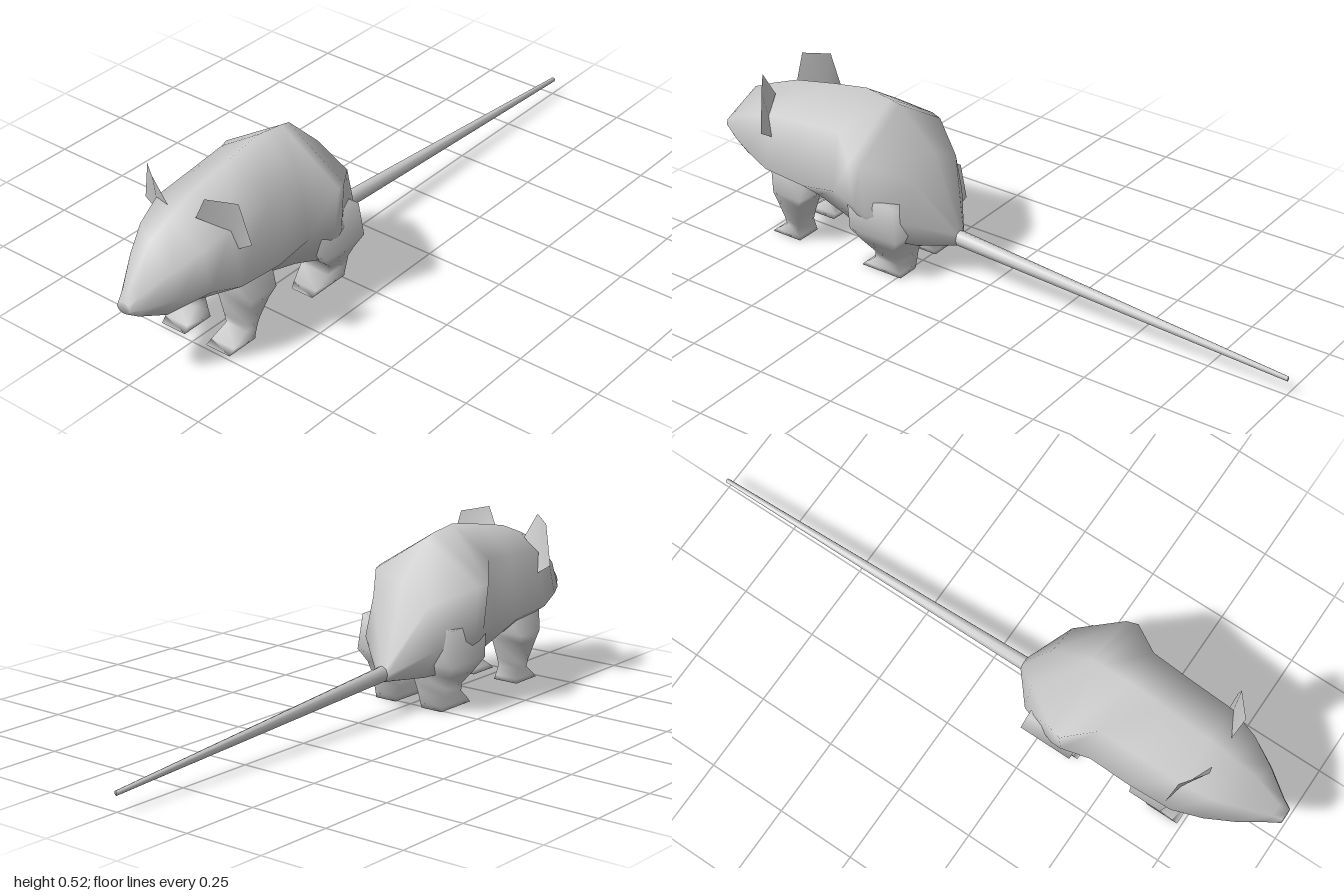
import * as THREE from 'three';

const material = new THREE.MeshStandardMaterial({ color: 0xcccccc, side: THREE.DoubleSide });

// Skin a list of equal-length closed rings of [x, y, z], with both ends capped
function loft(name, rings) {
  const n = rings[0].length;
  const index = [];
  for (let r = 0; r < rings.length - 1; r++) {
    for (let i = 0; i < n; i++) {
      const j = (i + 1) % n;
      const a = r * n + i, b = r * n + j, c = a + n, d = b + n;
      index.push(a, b, c, b, d, c);
    }
  }
  const end = (rings.length - 1) * n;
  for (let i = 1; i < n - 1; i++) {
    index.push(0, i + 1, i, end, end + i, end + i + 1);
  }
  return surface(name, rings.flat(), index);
}

function surface(name, points, index) {
  const geometry = new THREE.BufferGeometry();
  geometry.setAttribute('position', new THREE.Float32BufferAttribute(points.flat(), 3));
  geometry.setIndex(index);
  geometry.computeVertexNormals();
  const mesh = new THREE.Mesh(geometry, material);
  mesh.name = name;
  return mesh;
}

// Symmetric body ring: top height, three side points, bottom height
function bodyRing([z, top, upper, side, lower, bottom]) {
  const half = [upper, side, lower];
  return [
    [0, top, z],
    ...half.map(([x, y]) => [x, y, z]),
    [0, bottom, z],
    ...half.slice().reverse().map(([x, y]) => [-x, y, z]),
  ];
}

// Leg from stacked four-sided sections: y, inner x, outer x, back z, front z
function leg(name, sections, side) {
  return loft(name, sections.map(([y, x0, x1, z0, z1]) => {
    const ring = [[x1, y, z0], [x1, y, z1], [x0, y, z1], [x0, y, z0]];
    return side > 0 ? ring : ring.reverse().map(([x, h, z]) => [-x, h, z]);
  }));
}

export function createModel() {
  const model = new THREE.Group();
  model.name = 'mouse';

  // Body and head, from nose to rump
  const tailRoot = [0.11, 0.15, [0.016, 0.143], [0.022, 0.125], [0.016, 0.107], 0.1];
  const body = [
    [1.0, 0.272, [0.018, 0.266], [0.024, 0.25], [0.015, 0.238], 0.235],
    [0.97, 0.31, [0.03, 0.285], [0.042, 0.25], [0.025, 0.22], 0.215],
    [0.89, 0.405, [0.075, 0.335], [0.098, 0.26], [0.05, 0.192], 0.175],
    [0.81, 0.44, [0.112, 0.375], [0.14, 0.26], [0.06, 0.195], 0.182],
    [0.72, 0.475, [0.132, 0.41], [0.165, 0.24], [0.08, 0.182], 0.178],
    [0.57, 0.505, [0.135, 0.425], [0.168, 0.23], [0.1, 0.17], 0.165],
    [0.45, 0.525, [0.14, 0.435], [0.17, 0.25], [0.12, 0.15], 0.15],
    [0.36, 0.513, [0.205, 0.385], [0.19, 0.24], [0.14, 0.125], 0.125],
    [0.325, 0.505, [0.195, 0.38], [0.185, 0.22], [0.14, 0.12], 0.118],
    [0.2, 0.385, [0.105, 0.33], [0.135, 0.2], [0.09, 0.11], 0.1],
    tailRoot,
  ];
  model.add(loft('body', body.map(bodyRing)));

  // Long tapering tail
  const tailTip = [-1, 0.06, [0.005, 0.058], [0.007, 0.053], [0.005, 0.048], 0.045];
  model.add(loft('tail', [tailRoot, tailTip].map(bodyRing)));

  const frontLeg = [
    [0.27, 0.06, 0.14, 0.58, 0.72],
    [0.17, 0.048, 0.168, 0.585, 0.69],
    [0.14, 0.046, 0.158, 0.605, 0.685],
    [0.075, 0.055, 0.138, 0.622, 0.675],
    [0.05, 0.058, 0.133, 0.627, 0.672],
    [0.015, 0.045, 0.127, 0.63, 0.72],
    [0, 0.04, 0.125, 0.63, 0.737],
  ];
  const backLeg = [
    [0.26, 0.06, 0.17, 0.23, 0.4],
    [0.15, 0.02, 0.178, 0.215, 0.385],
    [0.11, 0.012, 0.158, 0.238, 0.355],
    [0.075, 0.025, 0.14, 0.24, 0.32],
    [0.05, 0.035, 0.135, 0.24, 0.325],
    [0.015, 0.045, 0.127, 0.24, 0.37],
    [0, 0.05, 0.125, 0.24, 0.385],
  ];

  // Thin dished ear; the first point is the inner notch
  const ear = [
    [0.135, 0.405, 0.722], [0.05, 0.435, 0.765], [0.093, 0.515, 0.775],
    [0.163, 0.5, 0.72], [0.192, 0.375, 0.705], [0.145, 0.345, 0.705],
  ];

  for (const side of [1, -1]) {
    const label = side > 0 ? 'left' : 'right';
    model.add(leg(label + 'FrontLeg', frontLeg, side));
    model.add(leg(label + 'BackLeg', backLeg, side));
    const points = ear.map(([x, y, z]) => [side * x, y, z]);
    const index = [];
    for (let i = 1; i < ear.length - 1; i++) {
      index.push(0, side > 0 ? i + 1 : i, side > 0 ? i : i + 1);
    }
    model.add(surface(label + 'Ear', points, index));
  }
  return model;
}
